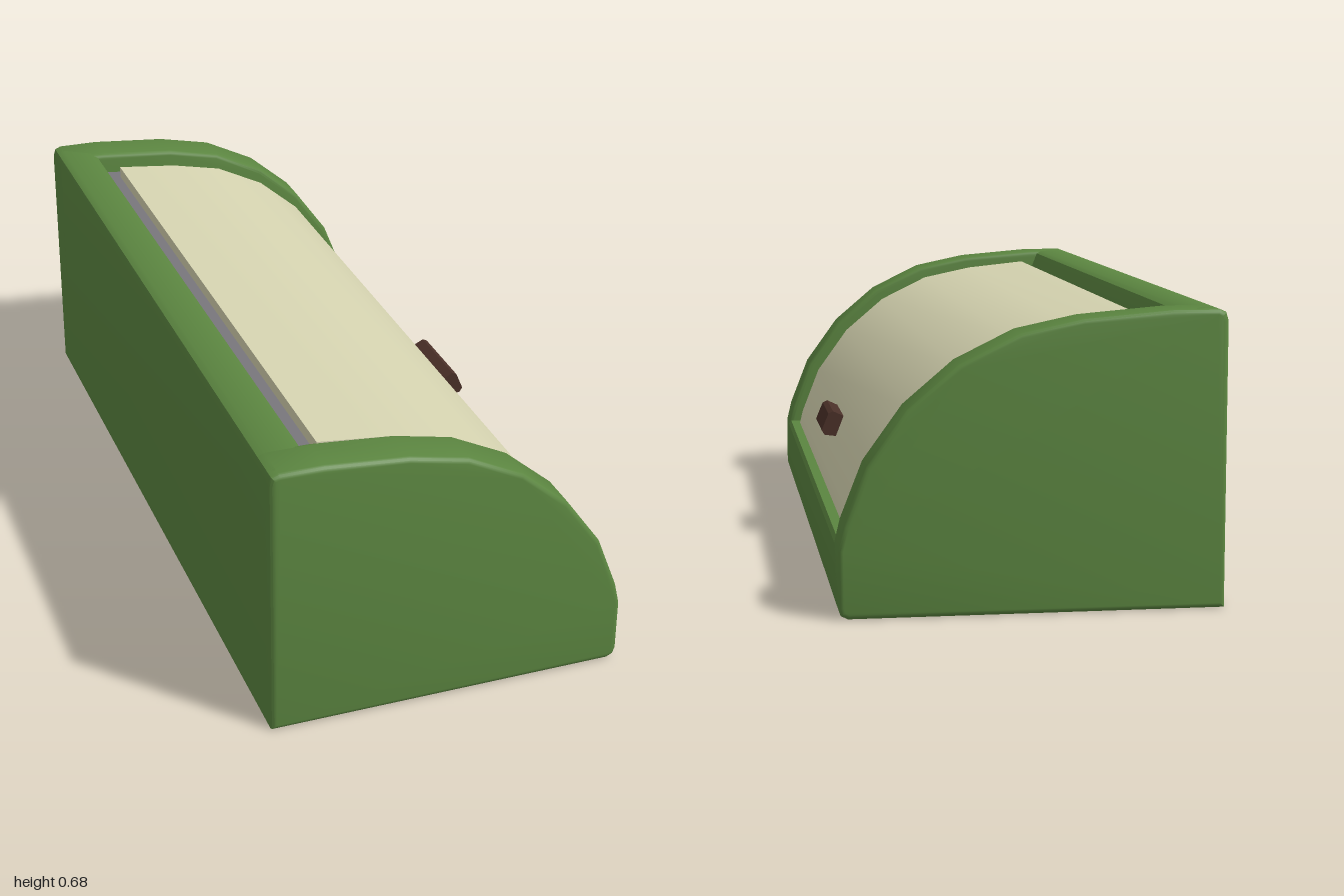
import * as THREE from 'three';
import { toCreasedNormals } from 'three/addons/utils/BufferGeometryUtils.js';

const material = (name, color) => {
  const m = new THREE.MeshStandardMaterial({ color });
  m.name = name;
  return m;
};

// Curved front of the box in the x-y plane, from the sill up to the back
const ARC = [[0.437, 0.1], [0.437, 0.155], [0.424, 0.21], [0.373, 0.34], [0.283, 0.465],
  [0.168, 0.563], [0.032, 0.63], [-0.11, 0.66], [-0.31, 0.677]];

// Moves the curve inwards by d along its normals
function insetArc(d) {
  return ARC.map(([x, y], i) => {
    const a = ARC[Math.max(i - 1, 0)], b = ARC[Math.min(i + 1, ARC.length - 1)];
    const dx = b[0] - a[0], dy = b[1] - a[1], l = Math.hypot(dx, dy);
    return [x - (dy / l) * d, y + (dx / l) * d];
  });
}

// Extrudes an x-y outline along z, centred on zMid, with an optional rounded rim
function slab(name, points, depth, zMid, mat, bevel = 0) {
  const shape = new THREE.Shape(points.map(([x, y]) => new THREE.Vector2(x, y)));
  const geo = new THREE.ExtrudeGeometry(shape, {
    depth: depth - 2 * bevel, bevelEnabled: bevel > 0, bevelThickness: bevel,
    bevelSize: bevel, bevelOffset: -bevel, bevelSegments: 3,
  });
  geo.translate(0, 0, zMid - depth / 2 + bevel);
  const mesh = new THREE.Mesh(toCreasedNormals(geo, 0.6), mat);
  mesh.name = name;
  return mesh;
}

export function createModel() {
  const green = material('green shell', 0x5b8540);
  const cream = material('cream lid', 0xd5d3b0);
  const gray = material('gray liner', 0x77757a);
  const brown = material('dark brown handle', 0x4a3028);
  const group = new THREE.Group();
  group.name = 'rollTopBox';

  // End walls
  const wall = [[-0.437, 0], [0.415, 0], [0.431, 0.008], [0.437, 0.025], ...ARC.slice(1),
    [-0.415, 0.677], [-0.431, 0.67], [-0.437, 0.65]];
  for (const s of [1, -1]) {
    group.add(slab(s > 0 ? 'frontEndWall' : 'backEndWall', wall, 0.115, s * 0.9425, green, 0.012));
  }

  // Base, front sill and back wall in one cross-section
  const body = [[-0.437, 0], [0.415, 0], [0.431, 0.008], [0.437, 0.025], [0.437, 0.155],
    [0.43, 0.165], [-0.312, 0.165], [-0.312, 0.625], [-0.33, 0.67], [-0.345, 0.677],
    [-0.415, 0.677], [-0.431, 0.67], [-0.437, 0.65]];
  group.add(slab('baseAndBackWall', body, 1.95, 0, green));

  // Liner seen as a narrow border around the lid
  const liner = insetArc(0.055);
  group.add(slab('liner', [[-0.315, 0.1], ...liner, [-0.315, 0.622]], 1.78, 0, gray));

  // Curved lid, its lower edge sunk into the sill
  const outer = insetArc(0.028), inner = insetArc(0.07);
  for (const arc of [outer, inner]) arc[arc.length - 1][0] = -0.275;
  group.add(slab('lid', [...outer, ...inner.reverse()], 1.69, 0, cream));

  // Handle
  const handle = [[0.365, 0.27], [0.4, 0.275], [0.407, 0.287], [0.389, 0.33], [0.377, 0.336],
    [0.347, 0.322]];
  group.add(slab('handle', handle, 0.21, 0, brown));

  return group;
}
